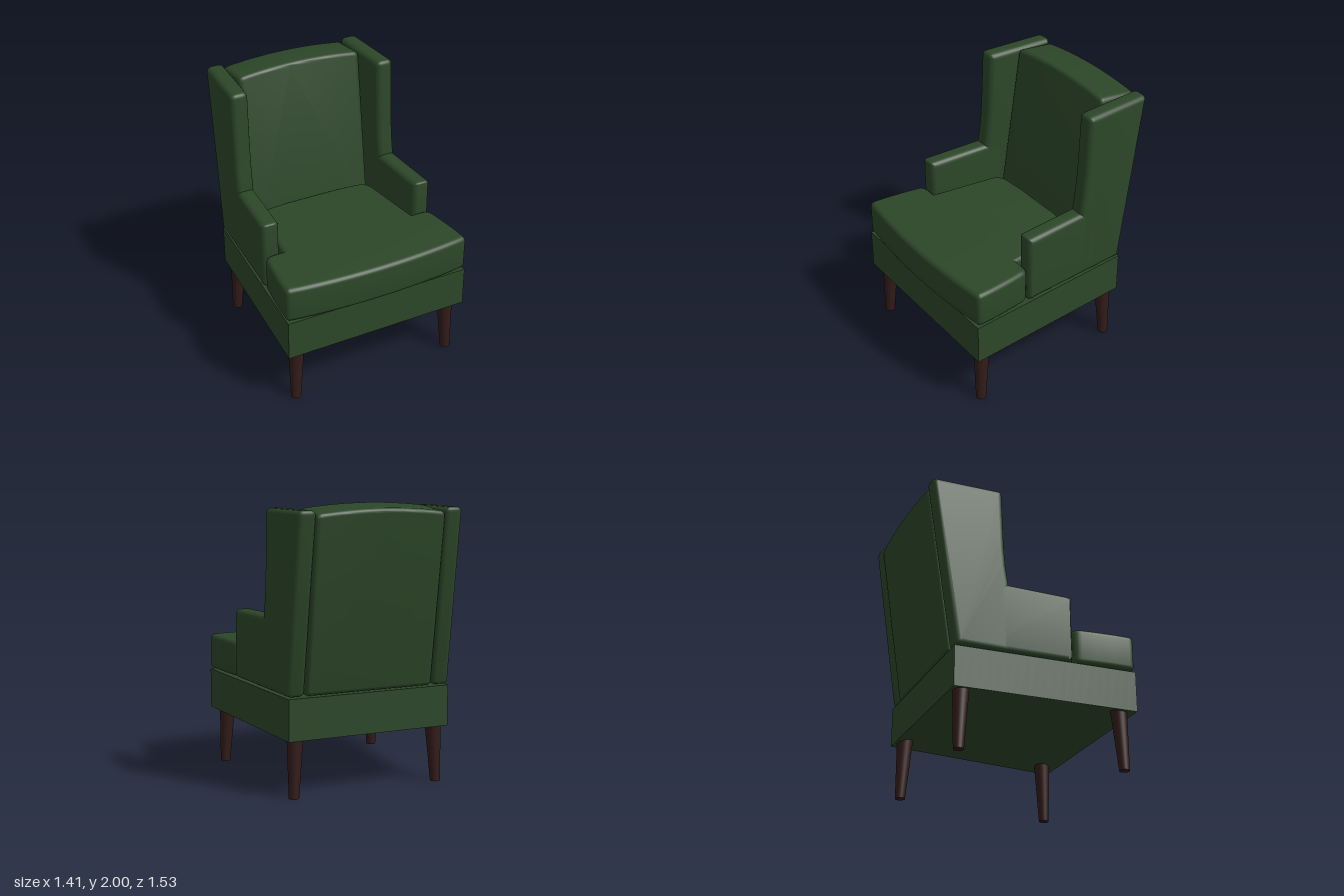
import * as THREE from 'three';
import { toCreasedNormals } from 'three/addons/utils/BufferGeometryUtils.js';

const fabric = new THREE.MeshStandardMaterial({ color: 0x2c4628 });
const wood = new THREE.MeshStandardMaterial({ color: 0x331c19 });

// Closed outline from [x, y, cornerRadius] points; no radius keeps the point as it is.
function roundedShape(points) {
  const shape = new THREE.Shape();
  const n = points.length;
  const toward = (p, q, r) => {
    const k = r / Math.hypot(q[0] - p[0], q[1] - p[1]);
    return [p[0] + (q[0] - p[0]) * k, p[1] + (q[1] - p[1]) * k];
  };
  points.forEach((p, i) => {
    const r = p[2] || 0;
    const a = r ? toward(p, points[(i + n - 1) % n], r) : p;
    if (i === 0) shape.moveTo(a[0], a[1]);
    else shape.lineTo(a[0], a[1]);
    if (r) {
      const b = toward(p, points[(i + 1) % n], r);
      shape.quadraticCurveTo(p[0], p[1], b[0], b[1]);
    }
  });
  shape.closePath();
  return shape;
}

// Padded slab: the outline keeps its size, the edges are rounded, z runs from 0 to thickness.
function slab(points, thickness, bevel) {
  const g = new THREE.ExtrudeGeometry(roundedShape(points), {
    depth: thickness - 2 * bevel, bevelThickness: bevel, bevelSize: bevel,
    bevelOffset: -bevel, bevelSegments: 5, curveSegments: 6,
  });
  return g.translate(0, 0, bevel);
}

function reshape(geometry, rule) {
  const pos = geometry.attributes.position;
  const v = new THREE.Vector3();
  for (let i = 0; i < pos.count; i++) {
    rule(v.fromBufferAttribute(pos, i));
    pos.setXYZ(i, v.x, v.y, v.z);
  }
  return geometry;
}

// Points on a shallow arch from x = -half to x = half.
function arch(half, mid, drop, steps = 12) {
  return Array.from({ length: steps - 1 }, (_, i) => {
    const t = -1 + (2 * (i + 1)) / steps;
    return [half * t, mid - drop * t * t];
  });
}

const mirrored = (half) => [...half, ...half.map(([x, y, r]) => [-x, y, r]).reverse()];

export function createModel() {
  const model = new THREE.Group();
  const add = (name, geometry, material) => {
    const mesh = new THREE.Mesh(toCreasedNormals(geometry, 0.55), material);
    mesh.name = name;
    model.add(mesh);
  };

  // Seat frame: tapers to the back, underside gently hollowed
  const frame = new THREE.BoxGeometry(2, 0.293, 2, 20, 1, 20);
  reshape(frame, (v) => {
    if (v.y < 0) v.y += 0.08 * (1 - v.x ** 4) * (1 - v.z ** 4);
    v.x *= THREE.MathUtils.lerp(0.61, 0.703, (v.z + 1) / 2);
    v.y += 0.5565;
    v.z = 0.0675 + 0.6545 * v.z;
  });
  add('seatFrame', frame, fabric);

  // T-shaped seat cushion, drawn in (x, z)
  const sideHalf = [
    [0.709, 0.715, 0.035], [0.702, 0.58], [0.687, 0.44], [0.662, 0.27, 0.06],
    [0.522, 0.268], [0.455, -0.29, 0.09], [0.2, -0.308],
  ];
  const cushion = slab(
    [...arch(0.709, 0.767, 0.05), ...mirrored(sideHalf)], 0.262, 0.035);
  add('seatCushion', cushion.rotateX(Math.PI / 2).translate(0, 0.974, 0), fabric);

  // Back: arched top, leaning backwards
  const back = slab([
    [0.478, 0.71, 0.03], [0.478, 1.968, 0.04], ...arch(0.478, 2.0, 0.032).reverse(),
    [-0.478, 1.968, 0.04], [-0.478, 0.71, 0.03],
  ], 0.293, 0.028);
  reshape(back, (v) => {
    const depth = 0.293 - v.z;
    const rise = v.y - 0.71;
    v.z = -0.291 - depth - 0.143 * rise;
    v.y -= 0.085 * depth * rise;
  });
  add('backrest', back, fabric);

  // Side panels, drawn in (z, y)
  const wing = [
    [-0.58, 0.71, 0.03], [-0.19, 0.71], [-0.198, 1.222], [-0.219, 1.36],
    [-0.232, 1.52], [-0.25, 1.962, 0.035], [-0.767, 1.967, 0.035],
  ];
  const arm = [
    [-0.36, 0.71], [0.265, 0.71, 0.015], [0.265, 1.213, 0.02], [-0.36, 1.228],
  ];

  for (const [side, s] of [['left', 1], ['right', -1]]) {
    // Wing and arm, toed in towards the back
    for (const [part, outline] of [['Wing', wing], ['Arm', arm]]) {
      const panel = slab(outline, 0.134, 0.04);
      panel.translate(0, 0, -0.067).rotateY(-Math.PI / 2);
      reshape(panel, (v) => { v.x += s * (0.588 + 0.062 * v.z); });
      add(side + part, panel, fabric);
    }

    // Tapered legs, slightly splayed
    for (const [end, topX, topZ, footX, footZ] of [
      ['Front', 0.604, 0.63, 0.62, 0.648], ['Back', 0.533, -0.508, 0.55, -0.525],
    ]) {
      const leg = new THREE.CylinderGeometry(0.058, 0.036, 0.44, 24).translate(0, 0.22, 0);
      reshape(leg, (v) => {
        const t = v.y / 0.44;
        v.x += s * THREE.MathUtils.lerp(footX, topX, t);
        v.z += THREE.MathUtils.lerp(footZ, topZ, t);
      });
      add(side + end + 'Leg', leg, wood);
    }
  }
  return model;
}
